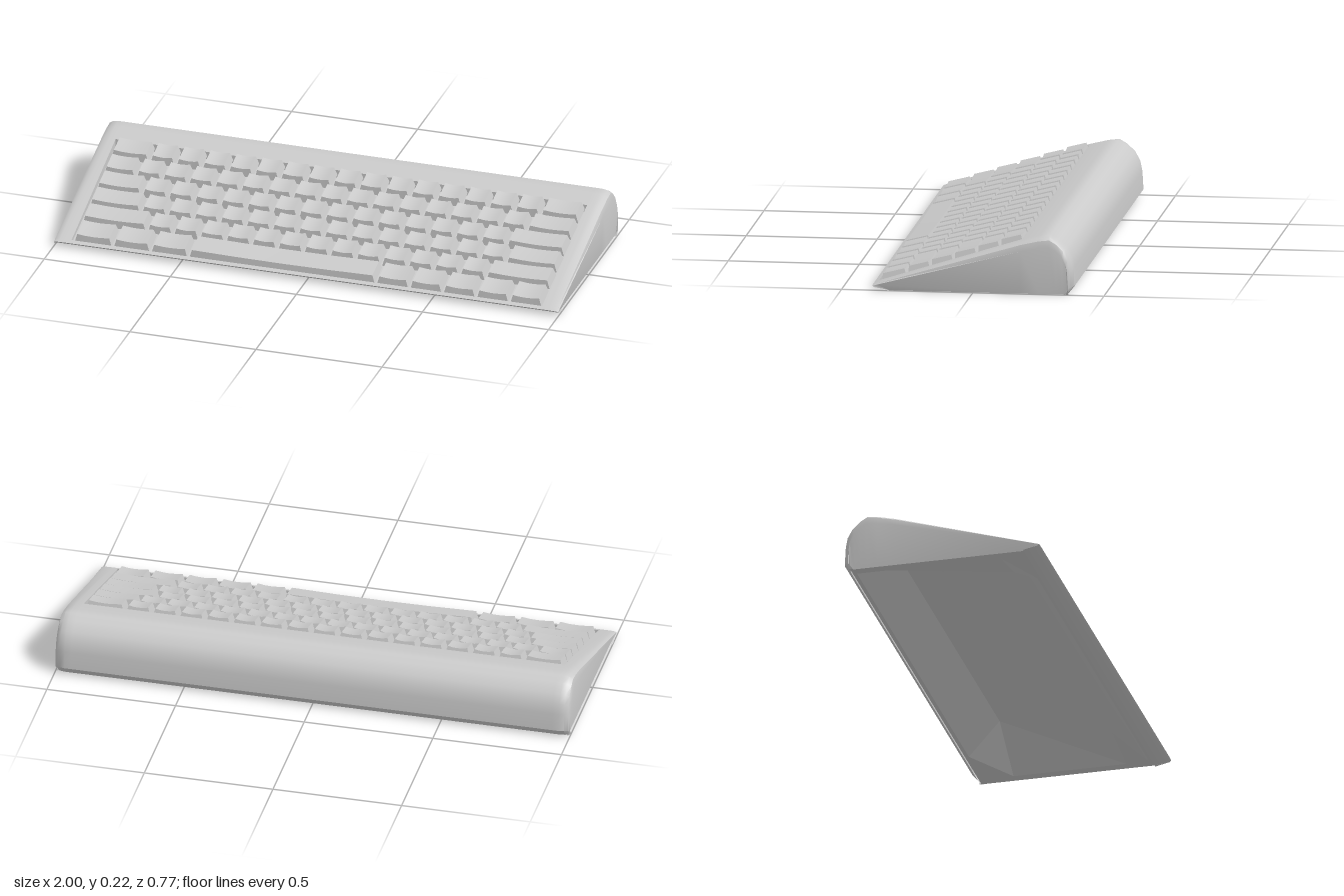
import * as THREE from 'three';
import { toCreasedNormals } from 'three/addons/utils/BufferGeometryUtils.js';

const material = new THREE.MeshStandardMaterial({ color: 0xcccccc, side: THREE.DoubleSide });
const SLOPE = 0.318;
const deckY = z => 0.141 - SLOPE * z;

// Skin a list of equal-length rings of [x, y, z] points
function loft(rings, crease) {
  const n = rings[0].length;
  const index = [];
  for (let i = 0; i < rings.length - 1; i++) {
    for (let j = 0; j < n - 1; j++) {
      const a = i * n + j, b = a + n;
      index.push(a, a + 1, b, b, a + 1, b + 1);
    }
  }
  const geo = new THREE.BufferGeometry();
  geo.setAttribute('position', new THREE.Float32BufferAttribute(rings.flat(2), 3));
  geo.setIndex(index);
  return toCreasedNormals(geo, crease);
}

function addMesh(parent, name, geo) {
  const mesh = new THREE.Mesh(geo, material);
  mesh.name = name;
  parent.add(mesh);
  return mesh;
}

// Wedge-shaped outer case with a sunken key well
function caseGeometry() {
  const profile = [
    [-0.36, 0], [-0.384, 0.03], [-0.38, 0.1], [-0.372, 0.14], [-0.352, 0.175],
    [-0.32, 0.204], [-0.29, 0.221], [-0.25, 0.216], [-0.18, 0.199], [-0.18, 0.199],
    [0.365, 0.027], [0.365, 0.027], [0.382, 0.021], [0.375, 0.014], [0.32, 0],
  ];
  const wellY = { 9: 0.168, 10: 0.012 };
  // x, height factor, tightening of the back edge, sunken well
  const half = [
    [0.99, 0, 0.75, false], [1, 0.82, 0.75, false], [0.994, 0.94, 0.85, false],
    [0.98, 0.985, 0.95, false], [0.96, 1, 1, false], [0.935, 1, 1, false], [0.935, 1, 1, true],
  ];
  const stations = [
    ...half.map(([x, ...rest]) => [-x, ...rest]),
    ...half.slice().reverse(),
  ];
  const rings = stations.map(([x, h, back, well]) => profile.map(([z, y], j) => [
    x,
    well && j in wellY ? wellY[j] : y * h,
    z < -0.3 ? -0.3 + (z + 0.3) * back : Math.min(z, h === 0 ? 0.32 : z),
  ]));
  return loft(rings, 0.7);
}

// Hollow underside: walls slant inward up to a panel below the keys
function cavityGeometry() {
  const profile = [[-0.34, 0], [-0.22, 0.135], [0.22, 0.035], [0.31, 0]];
  const stations = [[0.95, 0], [0.74, 1], [-0.74, 1], [-0.95, 0]];
  return loft(stations.map(([x, h]) => profile.map(([z, y]) => [x, y * h, z])), 0.2);
}

// Narrow ring the case stands on
function rimGeometry() {
  const rect = (path, x, z0, z1) =>
    path.moveTo(-x, z0).lineTo(x, z0).lineTo(x, z1).lineTo(-x, z1).closePath();
  const shape = new THREE.Shape();
  rect(shape, 0.99, -0.355, 0.32);
  const hole = new THREE.Path();
  rect(hole, 0.95, -0.34, 0.31);
  shape.holes.push(hole);
  return new THREE.ShapeGeometry(shape).rotateX(Math.PI / 2);
}

// Tapered keycap with a shallow dished top; origin at its top centre
function keyGeometry(width, depth) {
  const height = 0.034;
  const geo = new THREE.BoxGeometry(width, height, depth, 4, 1, 1);
  geo.translate(0, -height / 2, 0);
  const p = geo.attributes.position;
  for (let i = 0; i < p.count; i++) {
    if (p.getY(i) < -height / 2) continue;
    const u = p.getX(i) / (width / 2);
    p.setX(i, p.getX(i) - u * 0.01);
    p.setZ(i, p.getZ(i) * 0.88 - 0.004);
    p.setY(i, -0.005 * (1 - u * u));
  }
  return toCreasedNormals(geo, 0.5);
}

export function createModel() {
  const model = new THREE.Group();
  model.name = 'keyboard';

  addMesh(model, 'case', caseGeometry());
  addMesh(model, 'undersideCavity', cavityGeometry());
  addMesh(model, 'bottomRim', rimGeometry());

  // Key rows from back to front, as relative key widths
  const ones = n => Array(n).fill(1);
  const rows = [
    [1.5, ...ones(15), 1.5],
    [1.25, ...ones(15), 1.75],
    [1.75, ...ones(14), 2.25],
    [2, ...ones(14), 2],
    [2.5, ...ones(13), 2.5],
    [1.5, 1.45, 1.45, 7.2, 1.28, 1.28, 1.28, 1.28, 1.28],
  ];
  const keys = new THREE.Group();
  keys.name = 'keys';
  model.add(keys);
  rows.forEach((widths, r) => {
    const front = r === rows.length - 1;
    const z = -0.132 + r * 0.0885 + (front ? 0.006 : 0);
    const row = new THREE.Group();
    row.name = `keyRow${r + 1}`;
    keys.add(row);
    const unit = 1.86 / widths.reduce((a, b) => a + b, 0);
    let x = -0.93;
    for (const w of widths) {
      const name = w > 5 ? 'spaceBar' : 'key';
      const key = addMesh(row, name, keyGeometry(w * unit - 0.008, front ? 0.096 : 0.086));
      key.position.set(x + w * unit / 2, deckY(z) + 0.019, z);
      key.rotation.x = 0.25;
      x += w * unit;
    }
  });
  return model;
}
